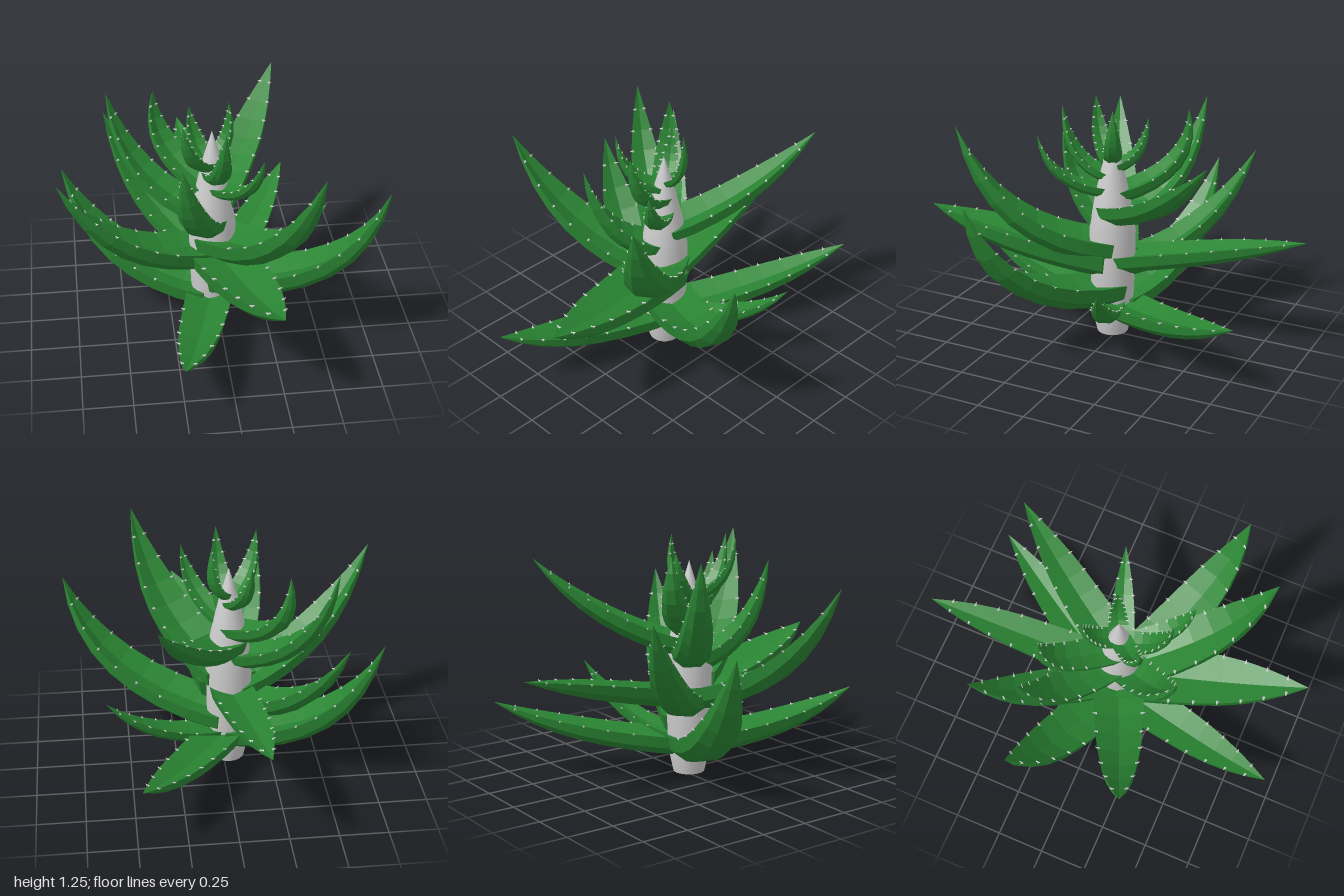
import * as THREE from 'three';
import { mergeGeometries } from 'three/addons/utils/BufferGeometryUtils.js';

const green = new THREE.MeshStandardMaterial({ color: 0x2a8533, flatShading: true });
const grey = new THREE.MeshStandardMaterial({ color: 0xcccccc });
const AXIS = { x: -0.03, z: 0.035 };
const UP = new THREE.Vector3(0, 1, 0);

// tip x, y, z | base height | full width | how far out the bend lies (0..1) | rise of the bend
const LEAVES = [
  // lowest whorl
  [-0.26, 0.36, 0.96, 0.17, 0.22, 0.6, 0.01],
  [0.47, 0.40, -0.84, 0.17, 0.21, 0.6, 0.05],
  [-0.79, 0.78, -0.25, 0.17, 0.25, 0.75, 0.04],
  [0.62, 0.50, -0.20, 0.17, 0.14, 0.65, 0.04],
  [0.81, 0.92, 0.41, 0.26, 0.25, 0.82, 0.08],
  // middle whorl
  [-0.55, 0.94, -0.55, 0.38, 0.2, 0.68, 0.07],
  [-0.12, 0.65, -0.99, 0.42, 0.2, 0.6, 0.13],
  [0.20, 0.64, 0.99, 0.43, 0.29, 0.6, 0.06],
  [-0.81, 1.05, 0.37, 0.43, 0.24, 0.68, 0.08],
  [0.43, 1.18, 0.68, 0.5, 0.25, 0.75, 0.08],
  [-0.21, 1.11, 0.41, 0.6, 0.18, 0.78, 0.07],
  [-0.54, 1.20, -0.27, 0.63, 0.18, 0.82, 0.06],
  [0.37, 1.14, -0.65, 0.69, 0.2, 0.58, 0.11],
  // small crown leaves
  [-0.30, 1.20, -0.27, 0.78, 0.15, 1.1, 0.08],
  [0.19, 1.11, 0.35, 0.8, 0.11, 0.85, 0.04],
  [0.01, 1.23, 0.30, 0.88, 0.11, 0.9, 0.04],
  [-0.19, 1.24, 0.21, 0.94, 0.1, 0.9, 0.05],
  [-0.13, 1.18, -0.12, 0.93, 0.1, 0.9, 0.04],
  [0.06, 1.25, -0.01, 0.98, 0.09, 1.2, 0.04],
];

// width along the leaf, from the broad clasping base to the tip
const TAPER = [1.1, 1.1, 1.06, 1, 0.92, 0.78, 0.58, 0.32, 0.01];
// channelled top, steep flanks and thick underside: [sideways, upward] per unit width
const SECTION = [[0, 0], [0.5, 0.15], [0.45, -0.12], [0.22, -0.31], [-0.22, -0.31], [-0.45, -0.12], [-0.5, 0.15]];

function makeLeaf([x, y, z, baseY, width, bend, rise]) {
  const dx = x - AXIS.x, dz = z - AXIS.z, reach = Math.hypot(dx, dz);
  const at = (f, h) => new THREE.Vector3(AXIS.x + dx * f, h, AXIS.z + dz * f);
  const curve = new THREE.QuadraticBezierCurve3(
    at(0.02 / reach, baseY), at(bend, baseY + rise), new THREE.Vector3(x, y, z));
  // leaf blades keep one sideways direction so they never twist
  const side = new THREE.Vector3(dx, 0, dz).normalize().cross(UP);
  const pos = [], index = [], thorns = [], n = SECTION.length, last = TAPER.length - 1;

  TAPER.forEach((taper, i) => {
    const p = curve.getPoint(i / last), w = width * taper;
    const normal = side.clone().cross(curve.getTangent(i / last)).normalize();
    SECTION.forEach(([s, h], j) => {
      const v = p.clone().addScaledVector(side, s * w).addScaledVector(normal, h * w);
      pos.push(v.x, v.y, v.z);
      if (i < last) {
        const a = i * n + j, b = i * n + (j + 1) % n;
        index.push(a, b, b + n, a, b + n, a + n);
      }
      // small thorn on each blade edge
      if (Math.abs(s) === 0.5 && i > 1 && i < last) {
        const size = 0.014 + width * 0.04;
        const dir = side.clone().multiplyScalar(Math.sign(s)).addScaledVector(normal, 0.6).normalize();
        const thorn = new THREE.ConeGeometry(size * 0.4, size, 5);
        thorn.applyQuaternion(new THREE.Quaternion().setFromUnitVectors(UP, dir));
        thorn.translate(v.x, v.y, v.z);
        thorns.push(thorn);
      }
    });
  });
  // close the base
  for (let j = 1; j < n - 1; j++) index.push(0, j + 1, j);

  const geo = new THREE.BufferGeometry();
  geo.setAttribute('position', new THREE.Float32BufferAttribute(pos, 3));
  geo.setIndex(index);
  geo.computeVertexNormals();
  const blade = new THREE.Mesh(geo, green);
  blade.name = 'leafBlade';
  const spikes = new THREE.Mesh(mergeGeometries(thorns), grey);
  spikes.name = 'leafThorns';
  const leaf = new THREE.Group();
  leaf.name = 'leaf';
  leaf.add(blade, spikes);
  return leaf;
}

export function createModel() {
  const model = new THREE.Group();
  model.name = 'succulentPlant';

  // swelling, then pointed stem
  const profile = [[0, 0], [0.082, 0], [0.082, 0], [0.108, 0.12], [0.118, 0.35], [0.122, 0.58],
    [0.095, 0.75], [0.066, 0.88], [0.045, 0.97], [0, 1.12]].map(([r, h]) => new THREE.Vector2(r, h));
  const stem = new THREE.Mesh(new THREE.LatheGeometry(profile, 20), grey);
  stem.position.set(AXIS.x, 0, AXIS.z);
  stem.name = 'stem';
  model.add(stem);

  const leaves = new THREE.Group();
  leaves.name = 'leaves';
  LEAVES.forEach((spec) => leaves.add(makeLeaf(spec)));
  model.add(leaves);
  return model;
}
